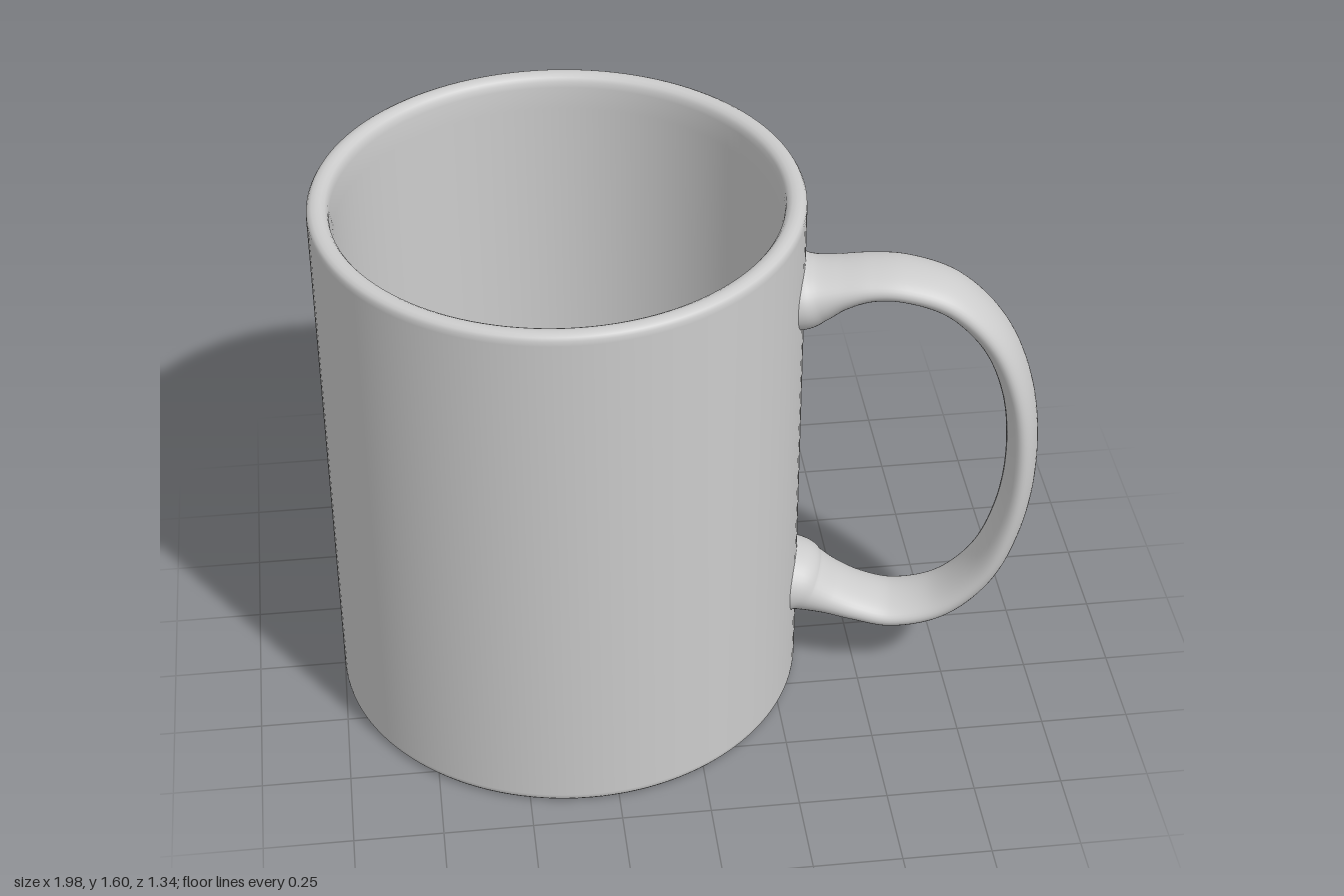
import * as THREE from 'three';

const material = new THREE.MeshStandardMaterial({ color: 0xcccccc, side: THREE.DoubleSide });
const CENTER_X = -0.33;
const HANDLE_ANGLE = 0.196;

// Round cup: underside, outer wall, rounded rim, inner wall and floor in one profile
function createCup() {
  const profile = [
    [0, 0], [0.645, 0], [0.655, 0.001], [0.663, 0.005], [0.669, 0.013], [0.67, 0.025],
    [0.67, 1.57], [0.669, 1.584], [0.664, 1.593], [0.655, 1.598], [0.643, 1.6],
    [0.63, 1.598], [0.62, 1.592], [0.613, 1.582], [0.61, 1.565], [0.606, 1.5],
    [0.598, 0.15], [0.594, 0.115], [0.586, 0.09], [0.574, 0.081], [0.56, 0.08], [0, 0.08],
  ].map(([r, y]) => new THREE.Vector2(r, y));
  const cup = new THREE.Mesh(new THREE.LatheGeometry(profile, 128), material);
  cup.name = 'cup';
  return cup;
}

// Handle: oval section swept along a planar curve, flaring where it meets the wall
function createHandle() {
  // distance from cup axis, height, half thickness, half width
  const stations = [
    [0.635, 1.322, 0.11, 0.13], [0.675, 1.323, 0.1, 0.124], [0.71, 1.332, 0.084, 0.114],
    [0.77, 1.353, 0.062, 0.105], [0.85, 1.373, 0.048, 0.1], [0.94, 1.373, 0.044, 0.1],
    [1.07, 1.33, 0.044, 0.098], [1.19, 1.21, 0.044, 0.096], [1.265, 1.03, 0.044, 0.095],
    [1.291, 0.8, 0.044, 0.095], [1.268, 0.58, 0.044, 0.095], [1.2, 0.395, 0.044, 0.096],
    [1.085, 0.274, 0.044, 0.098], [0.95, 0.234, 0.044, 0.1], [0.85, 0.251, 0.048, 0.1],
    [0.77, 0.28, 0.06, 0.105], [0.71, 0.305, 0.08, 0.114],
    [0.675, 0.32, 0.098, 0.124], [0.635, 0.325, 0.11, 0.13],
  ];
  const path = new THREE.CatmullRomCurve3(stations.map(([u, y]) => new THREE.Vector3(u, y, 0)));
  const sizes = new THREE.CatmullRomCurve3(stations.map(([, , a, b]) => new THREE.Vector3(a, b, 0)),
    false, 'catmullrom', 0.5);
  const rings = 144, sides = 40;
  const positions = [], indices = [];
  for (let i = 0; i <= rings; i++) {
    const t = i / rings;
    const c = path.getPoint(t), d = path.getTangent(t), s = sizes.getPoint(t);
    for (let j = 0; j < sides; j++) {
      const angle = (j / sides) * Math.PI * 2;
      const n = s.x * Math.cos(angle);
      positions.push(c.x - d.y * n, c.y + d.x * n, s.y * Math.sin(angle));
      if (i === rings) continue;
      const a = i * sides + j, b = i * sides + (j + 1) % sides;
      indices.push(a, b, a + sides, b, b + sides, a + sides);
    }
  }
  const geometry = new THREE.BufferGeometry();
  geometry.setAttribute('position', new THREE.Float32BufferAttribute(positions, 3));
  geometry.setIndex(indices);
  geometry.computeVertexNormals();
  const handle = new THREE.Mesh(geometry, material);
  handle.name = 'handle';
  handle.rotation.y = -HANDLE_ANGLE;
  return handle;
}

export function createModel() {
  const mug = new THREE.Group();
  mug.name = 'mug';
  const body = new THREE.Group();
  body.name = 'cupWithHandle';
  body.position.x = CENTER_X;
  body.add(createCup(), createHandle());
  mug.add(body);
  return mug;
}
